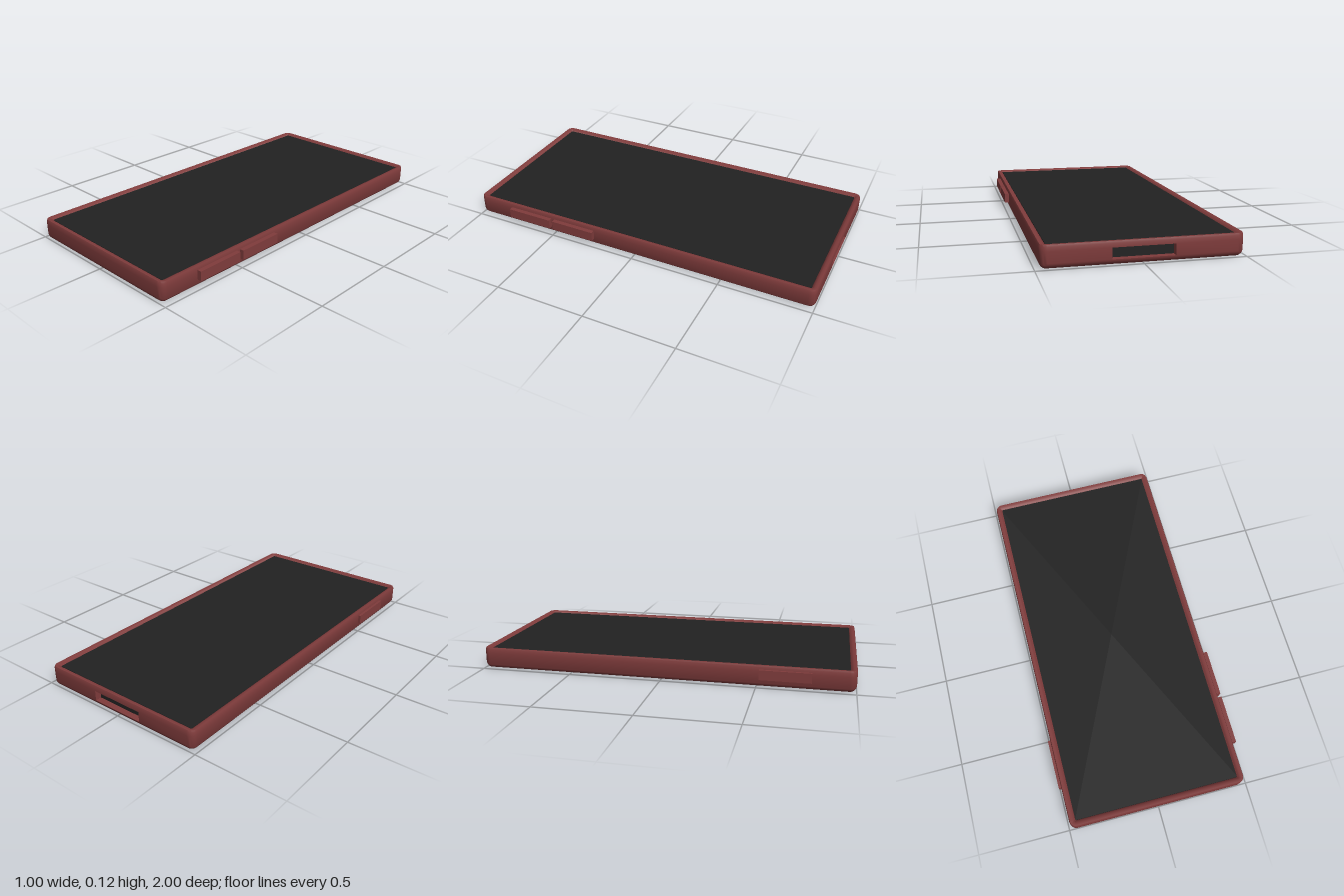
import * as THREE from 'three';
import { toCreasedNormals } from 'three/addons/utils/BufferGeometryUtils.js';

const CX = -0.005, HALF_X = 0.483, HALF_Z = 1, RADIUS = 0.035, SEG = 6;
const PORT_X = 0.15, PORT_EDGE = 3 * (SEG + 1); // index of the back edge span at the port

// Rounded rectangle ring, inset from the outline; inset null gives the centre point
function ring([inset, y]) {
  const pts = [];
  const add = (x, z) => pts.push(inset === null ? [CX, y, 0] : [x, y, z]);
  const r = Math.max(RADIUS - inset, 0.006);
  for (let c = 0; c < 4; c++) {
    const sx = c === 0 || c === 3 ? 1 : -1, sz = c < 2 ? 1 : -1;
    if (c === 3) {
      add(-PORT_X, -HALF_Z + inset);
      add(PORT_X, -HALF_Z + inset);
    }
    for (let i = 0; i <= SEG; i++) {
      const a = (c + i / SEG) * Math.PI / 2;
      add(CX + sx * (HALF_X - inset - r) + r * Math.cos(a),
        sz * (HALF_Z - inset - r) + r * Math.sin(a));
    }
  }
  return pts;
}

// Skin a list of [inset, y] rings; port = [outer low ring, inner high ring]
function loft(profile, port) {
  const rings = profile.map(ring), pos = [];
  const quad = (a, b, c, d) => pos.push(...a, ...b, ...c, ...a, ...c, ...d);
  const n = rings[0].length;
  for (let j = 0; j < rings.length - 1; j++) {
    for (let i = 0; i < n; i++) {
      if (port && i === PORT_EDGE && port.includes(j)) continue;
      const k = (i + 1) % n;
      quad(rings[j][i], rings[j + 1][i], rings[j + 1][k], rings[j][k]);
    }
  }
  if (port) {
    // Walls of the opening, from the outer skin to the inner skin
    const corners = (lo, hi) => [rings[lo][PORT_EDGE], rings[lo][PORT_EDGE + 1],
      rings[hi][PORT_EDGE + 1], rings[hi][PORT_EDGE]];
    const o = corners(port[0], port[0] + 1), s = corners(port[1] + 1, port[1]);
    for (let j = 0; j < 4; j++) {
      const k = (j + 1) % 4;
      quad(s[j], s[k], o[k], o[j]);
    }
  }
  const geo = new THREE.BufferGeometry();
  geo.setAttribute('position', new THREE.Float32BufferAttribute(pos, 3));
  return toCreasedNormals(geo, 0.6);
}

export function createModel() {
  const red = new THREE.MeshStandardMaterial({ color: 0x803c3c });
  red.name = 'case red';
  const black = new THREE.MeshStandardMaterial({ color: 0x222222 });
  black.name = 'screen black';
  const model = new THREE.Group();
  model.name = 'phoneInCase';
  const add = (name, geo, mat) => {
    const mesh = new THREE.Mesh(geo, mat);
    mesh.name = name;
    model.add(mesh);
    return mesh;
  };

  // Case: rounded underside, straight sides, raised lip, inner wall
  add('case', loft([
    [null, 0], [0.033, 0], [0.018, 0.004], [0.008, 0.012], [0.002, 0.022],
    [0, 0.03], [0, 0.085], [0, 0.105], [0.004, 0.115], [0.018, 0.115],
    [0.028, 0.109], [0.033, 0.103], [0.033, 0.085], [0.033, 0.03], [0.033, 0.02],
  ], [5, 12]), red);

  // Phone slab, whose top is the screen
  add('phone', loft([[null, 0.02], [0.034, 0.02], [0.034, 0.106], [null, 0.106]]), black);

  // Side buttons: two on the left, one on the right
  for (const [name, side, z0, z1] of [
    ['upperLeftButton', 1, 0.24, 0.495],
    ['lowerLeftButton', 1, 0.515, 0.78],
    ['rightButton', -1, 0.515, 0.78],
  ]) {
    const button = add(name, new THREE.BoxGeometry(0.03, 0.052, z1 - z0), red);
    button.position.set(side * 0.487, 0.069, (z0 + z1) / 2);
  }
  return model;
}
